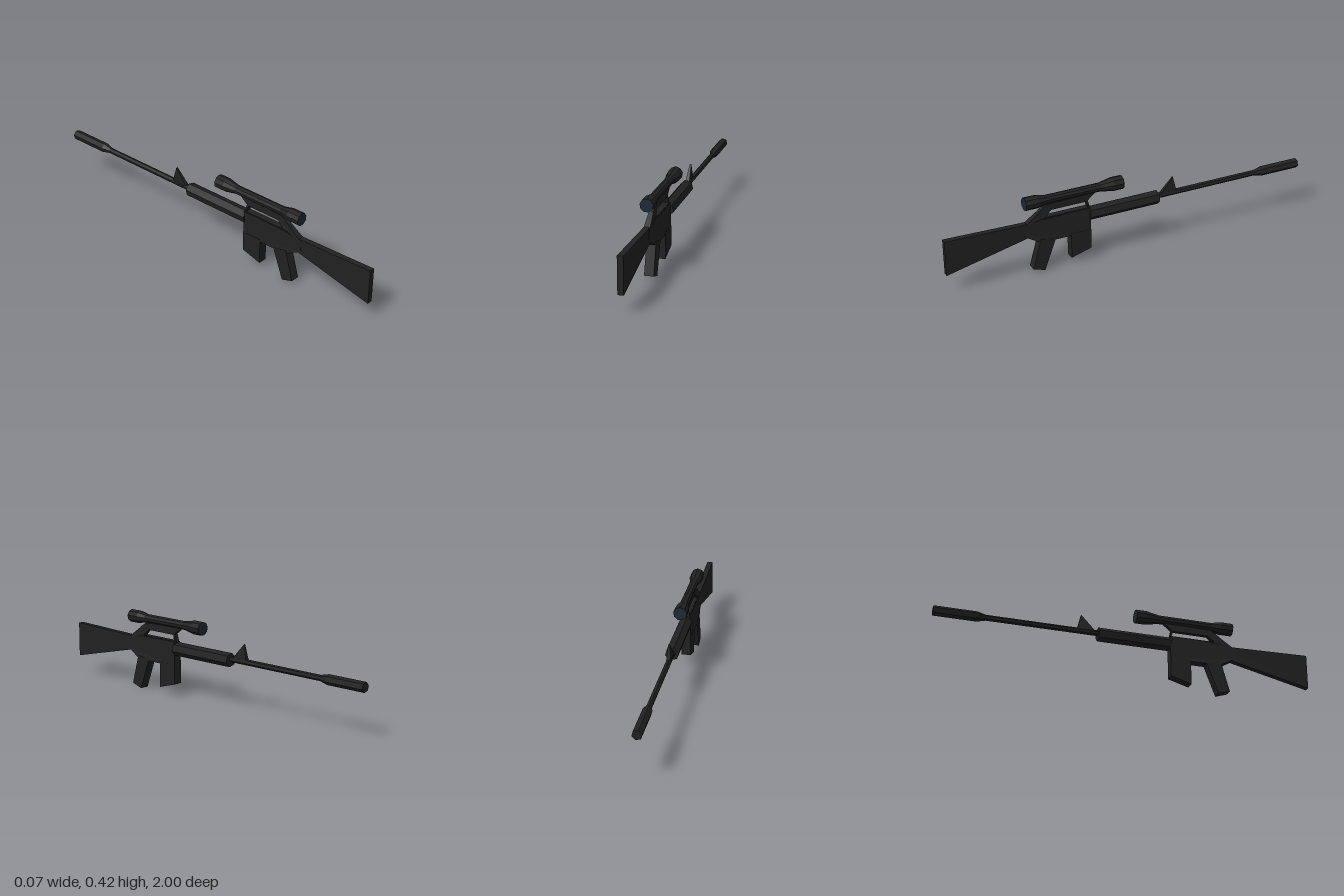
import * as THREE from 'three';

const dark = new THREE.MeshStandardMaterial({ color: 0x212121 });
dark.name = 'blackMetal';
const glass = new THREE.MeshStandardMaterial({ color: 0x1d2a34 });
glass.name = 'lensGlass';

// Split corners so every face is flat
function flat(geometry) {
  const g = geometry.index ? geometry.toNonIndexed() : geometry;
  g.computeVertexNormals();
  return g;
}

// Side profile of [z, y] points, extruded across x; widthAt(z, y) gives the half width
function slab(points, widthAt, hole) {
  const toVec = ([z, y]) => new THREE.Vector2(z, y);
  const shape = new THREE.Shape(points.map(toVec));
  if (hole) shape.holes.push(new THREE.Path(hole.map(toVec)));
  const g = new THREE.ExtrudeGeometry(shape, { depth: 2, bevelEnabled: false });
  g.translate(0, 0, -1).rotateY(-Math.PI / 2);
  const p = g.attributes.position;
  for (let i = 0; i < p.count; i++) p.setX(i, Math.sign(p.getX(i)) * widthAt(p.getZ(i), p.getY(i)));
  return flat(g);
}

// Faceted tube along z from [radius, z] points, z rising
function tube(points, sides, x, y, turn) {
  const g = new THREE.LatheGeometry(points.map(([r, z]) => new THREE.Vector2(r, z)), sides, turn);
  return flat(g.rotateX(Math.PI / 2).translate(x, y, 0));
}

export function createModel() {
  const model = new THREE.Group();
  const add = (name, geometry, material = dark) => {
    const mesh = new THREE.Mesh(geometry, material);
    mesh.name = name;
    model.add(mesh);
    return mesh;
  };

  // Stock, receiver, magazine and grip
  add('stock', slab([[1, 0.10], [1, 0.287], [0.53, 0.275], [0.53, 0.208]], () => 0.015));
  add('receiver', slab(
    [[0.59, 0.21], [0.59, 0.27], [0.545, 0.275], [0.5, 0.29], [0.23, 0.29], [0.23, 0.16], [0.5, 0.16]],
    (z, y) => (z > 0.53 ? 0.016 : y > 0.28 ? 0.02 : 0.024)));
  add('magazine', slab([[0.34, 0.17], [0.34, 0.032], [0.23, 0.064], [0.23, 0.17]], () => 0.024));
  add('grip', slab([[0.505, 0.18], [0.55, 0.02], [0.487, 0], [0.425, 0.165]], () => 0.024));

  // Carrying handle with its opening
  add('carryHandle', slab(
    [[0.585, 0.268], [0.48, 0.345], [0.46, 0.36], [0.195, 0.366], [0.24, 0.33], [0.23, 0.28]],
    (z, y) => (y < 0.3 ? 0.016 : 0.01),
    [[0.475, 0.292], [0.44, 0.324], [0.25, 0.324], [0.24, 0.292]]));
  add('rearSightPlate', slab([[0.504, 0.33], [0.482, 0.346], [0.478, 0.343], [0.5, 0.327]], () => 0.01), glass);

  // Handguard and barrel with thick muzzle
  add('handguard', tube([[0, -0.155], [0.036, -0.155], [0.036, 0.235], [0, 0.235]], 6, 0.003, 0.252, Math.PI / 12));
  add('barrel', tube(
    [[0, -1], [0.026, -1], [0.026, -0.78], [0.015, -0.735], [0.015, -0.1], [0, -0.1]],
    6, 0, 0.257, Math.PI / 12));
  add('frontSight', slab([[-0.17, 0.262], [-0.245, 0.347], [-0.265, 0.262]], (z, y) => (y > 0.3 ? 0.004 : 0.011)));

  // Scope with a lens at each end
  const scopeY = 0.383;
  add('scopeBody', tube(
    [[0, 0.046], [0.036, 0.046], [0.036, 0.1], [0.023, 0.17], [0.023, 0.46], [0.034, 0.51], [0.034, 0.578], [0, 0.578]],
    9, -0.001, scopeY, Math.PI));
  for (const [name, z, turn] of [['eyepieceLens', 0.58, 0], ['objectiveLens', 0.044, Math.PI]]) {
    const lens = add(name, new THREE.CircleGeometry(0.032, 9, Math.PI / 2), glass);
    lens.position.set(-0.001, scopeY, z);
    lens.rotation.y = turn;
  }

  return model;
}
